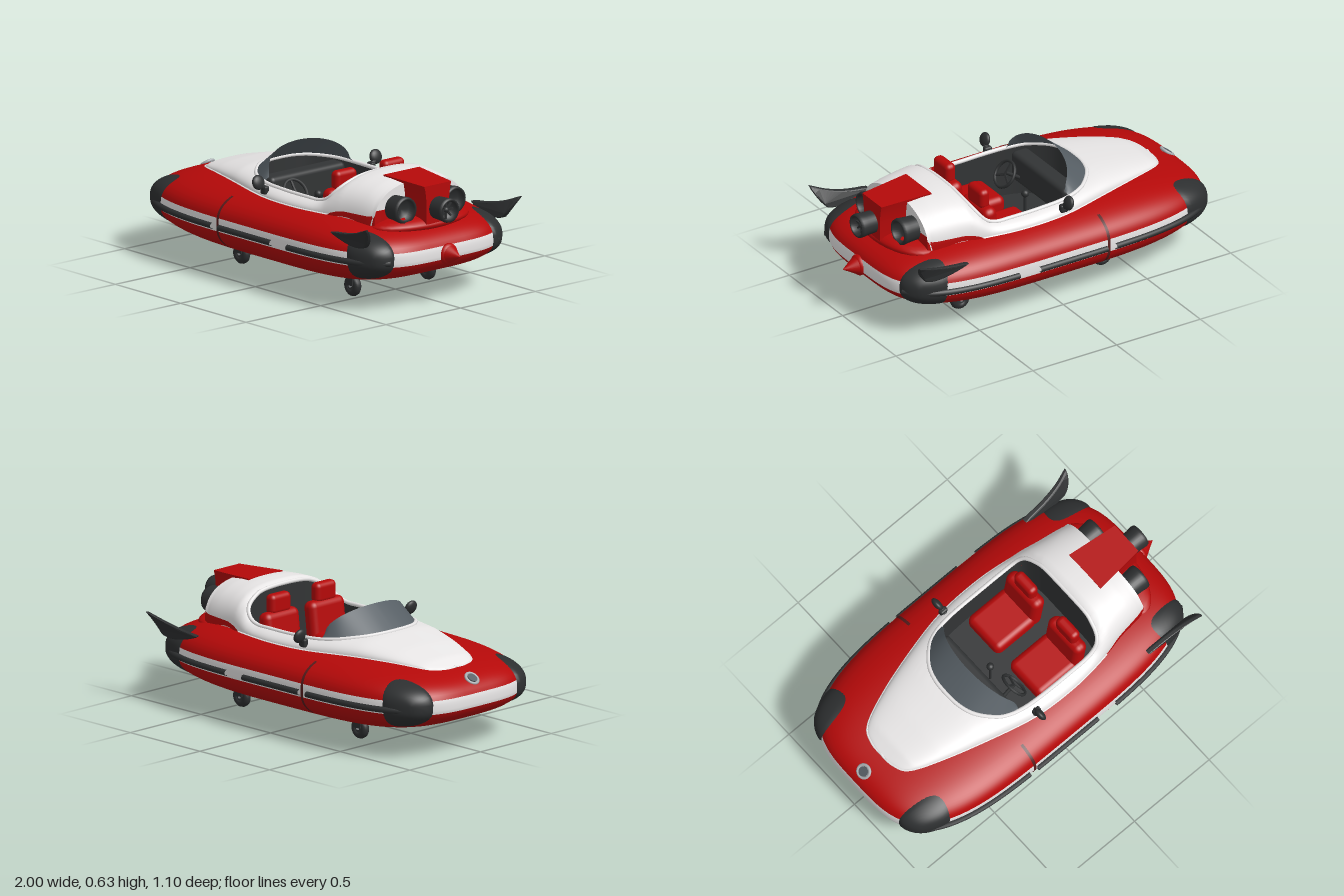
import * as THREE from 'three';
import { mergeVertices } from 'three/addons/utils/BufferGeometryUtils.js';
import { RoundedBoxGeometry } from 'three/addons/geometries/RoundedBoxGeometry.js';

const { PI, abs, sign, sin, cos, pow, max, min, sqrt } = Math;
const mat = (name, color) => new THREE.MeshStandardMaterial({ name, color, side: THREE.DoubleSide });
const V = (x, y, z) => new THREE.Vector3(x, y, z);
const range = (n, f) => Array.from({ length: n + 1 }, (_, i) => f(i / n));

// Smooth surface from a rule f(u, v) -> Vector3, u and v in 0..1
function grid(nu, nv, f) {
  const pos = [], idx = [];
  for (let j = 0; j <= nv; j++) for (let i = 0; i <= nu; i++) pos.push(...f(i / nu, j / nv).toArray());
  for (let j = 0; j < nv; j++) for (let i = 0; i < nu; i++) {
    const a = j * (nu + 1) + i, b = a + nu + 1;
    idx.push(a, a + 1, b, b, a + 1, b + 1);
  }
  let g = new THREE.BufferGeometry();
  g.setAttribute('position', new THREE.Float32BufferAttribute(pos, 3));
  g.setIndex(idx);
  g = mergeVertices(g, 1e-5);
  g.computeVertexNormals();
  return g;
}

// Linear look-up in a list of [x, value]
function look(table, x) {
  if (x <= table[0][0]) return table[0][1];
  for (let i = 1; i < table.length; i++) {
    const [x0, a] = table[i - 1], [x1, b] = table[i];
    if (x <= x1) return a + (b - a) * (x - x0) / (x1 - x0);
  }
  return table[table.length - 1][1];
}

// Hull: superellipse plan, rounder at the nose, with rounded sides; angle a = 0 is the nose (-x)
const CX = -0.045, HX = 0.955, HZ = 0.53, MID = 0.265;
const power = x => (x < CX ? 3.5 : 4);
const spow = (v, p) => sign(v) * pow(abs(v), p);
function hullPoint(a, phi, off = 0) {
  const p = phi > 0 ? 3 : 2.3, h = phi > 0 ? 0.185 : 0.195, k = 1 + off;
  const s = pow(max(cos(phi), 0), 2 / p) * k, e = 2 / (cos(a) > 0 ? 3.5 : 4);
  return V(CX - HX * s * spow(cos(a), e), MID + h * k * spow(sin(phi), 2 / p), HZ * s * spow(sin(a), e));
}
function hullTop(x, z) {
  const n = power(x), s = pow(pow(abs((x - CX) / HX), n) + pow(abs(z / HZ), n), 1 / n);
  return MID + 0.185 * pow(max(0, 1 - s * s * s), 1 / 3);
}
// Hull angle that gives a wanted x at scale s
const angleAt = (x, s = 1) => Math.acos(max(-1, min(1, spow((CX - x) / (HX * s), power(x) / 2))));

// Half outlines of the upper body and of the cockpit opening, as [x, z]
const OUTER = [[-0.82, 0], [-0.815, 0.08], [-0.77, 0.16], [-0.6, 0.235], [-0.35, 0.31], [-0.1, 0.365], [0.15, 0.375],
  [0.35, 0.355], [0.5, 0.325], [0.66, 0.3], [0.68, 0.27], [0.68, 0.12], [0.68, 0]];
const INNER = [[-0.385, 0], [-0.38, 0.08], [-0.355, 0.16], [-0.3, 0.23], [-0.23, 0.28], [-0.1, 0.31], [0.15, 0.315],
  [0.32, 0.31], [0.38, 0.28], [0.405, 0.2], [0.41, 0.15], [0.41, 0.08], [0.41, 0]];
const spline = pts => new THREE.SplineCurve(pts.map(p => new THREE.Vector2(...p)));
const outer = spline(OUTER), inner = spline(INNER);
const WIDTH = range(120, t => outer.getPoint(t * 0.75).toArray());
const HEIGHT = [[-0.82, 0.412], [-0.75, 0.447], [-0.6, 0.482], [-0.4, 0.514], [-0.25, 0.515], [-0.1, 0.5], [0.1, 0.49],
  [0.28, 0.495], [0.33, 0.52], [0.38, 0.585], [0.43, 0.625], [0.5, 0.628], [0.6, 0.622], [0.68, 0.61]];

// Upper body point: u in -1..1 round the loop, k = 0 outer edge to 1 cockpit edge
function bodyPoint(u, k) {
  const t = min(1, abs(u)), p = outer.getPoint(t).lerp(inner.getPoint(t), k);
  const w = max(0.01, look(WIDTH, p.x)), base = hullTop(p.x, p.y) - 0.004 * (1 - k);
  const prof = pow(max(0, 1 - pow(min(1, p.y / w), 2.5)), 0.4);
  return V(p.x, base + max(0, look(HEIGHT, p.x) - base) * prof, p.y * (sign(u) || 1));
}

export function createModel() {
  const car = new THREE.Group();
  const red = mat('red paint', 0xb50909), white = mat('white paint', 0xeeecec), dark = mat('dark rubber', 0x2d2f30);
  const lining = mat('cockpit lining', 0x323435), glass = mat('tinted glass', 0x565e64), silver = mat('silver', 0xa9adb1);
  const seam = mat('seam maroon', 0x561c1c);
  const add = (name, geo, m, x = 0, y = 0, z = 0, rx = 0, ry = 0, rz = 0, parent = car) => {
    const o = new THREE.Mesh(geo, m);
    o.name = name;
    o.position.set(x, y, z);
    o.rotation.set(rx, ry, rz);
    parent.add(o);
  };
  const tube = (name, pts, r, m, closed = false) =>
    add(name, new THREE.TubeGeometry(new THREE.CatmullRomCurve3(pts, closed), pts.length * 2, r, 8, closed), m);

  // Hull in bands, with the deck running in to the cockpit edge
  const band = (name, m, p0, p1, n) =>
    add(name, grid(128, n, (u, v) => hullPoint(PI * (2 * u - 1), p0 + (p1 - p0) * v)), m);
  const stripeTop = 0.125, rim = 0.773;
  band('lowerHull', red, -PI / 2, -0.09, 20);
  band('hullStripe', white, -0.09, stripeTop, 6);
  add('upperHull', grid(128, 24, (u, v) => {
    const a = PI * (2 * u - 1);
    if (v <= 0.5) return hullPoint(a, stripeTop + (rim - stripeTop) * v * 2);
    const p = hullPoint(a, rim), q = inner.getPoint(min(1, abs(a) / PI)), k = v * 2 - 1;
    const x = p.x + (q.x - p.x) * k, z = p.z + (q.y * (sign(a) || 1) - p.z) * k;
    return V(x, hullTop(x, z), z);
  }), red);

  // White upper body and its edge beads
  add('upperBody', grid(160, 24, (u, v) => bodyPoint(u * 2 - 1, v * v)), white);
  tube('cockpitRim', range(79, i => bodyPoint(i * 79 / 80 * 2 - 1, 1)), 0.011, white, true);
  tube('bonnetBead', range(80, i => bodyPoint((i * 2 - 1) * 0.6, 0)), 0.007, white);
  // Rear wall of the body, red below and white above
  const rearWall = (name, m, lo, hi) => add(name, grid(40, 2, (u, v) => {
    const p = bodyPoint(u < 0.5 ? 0.75 + u * 0.5 : -1 + (u - 0.5) * 0.5, 0);
    return V(p.x, min(p.y, lo) + (min(p.y, hi) - min(p.y, lo)) * v, p.z);
  }), m);
  rearWall('rearWallLower', red, 0.36, 0.49);
  rearWall('rearWallUpper', white, 0.49, 0.7);

  // Cockpit walls, floor and dashboard
  add('cockpitWall', grid(120, 2, (u, v) => {
    const p = bodyPoint(u * 2 - 1, 1);
    p.y += (0.2 - p.y) * v;
    return p;
  }), lining);
  const loop = [...range(40, t => inner.getPoint(t)), ...range(40, t => inner.getPoint(1 - t)).map(p => p.setY(-p.y))];
  add('cockpitFloor', new THREE.ShapeGeometry(new THREE.Shape(loop)), lining, 0, 0.21, 0, PI / 2);
  add('dashboard', new RoundedBoxGeometry(0.1, 0.16, 0.5, 3, 0.025), lining, -0.21, 0.41, 0);

  // Steering wheel, on the +z side
  const steer = new THREE.Group();
  steer.name = 'steeringWheel';
  steer.position.set(-0.075, 0.42, 0.165);
  steer.rotation.set(0, PI / 2, 0);
  const tilt = new THREE.Group();
  tilt.rotation.x = -0.6;
  steer.add(tilt);
  car.add(steer);
  add('wheelRim', new THREE.TorusGeometry(0.07, 0.008, 8, 32), dark, 0, 0, 0, 0, 0, 0, tilt);
  for (let i = 0; i < 3; i++)
    add('wheelSpoke', new THREE.BoxGeometry(0.01, 0.068, 0.008).translate(0, 0.034, 0), dark, 0, 0, 0, 0, 0, i * 2.094, tilt);
  add('steeringColumn', new THREE.CylinderGeometry(0.01, 0.01, 0.12, 10), dark, -0.13, 0.395, 0.165, 0, 0, -1);
  add('gearStick', new THREE.CylinderGeometry(0.007, 0.007, 0.16, 8), dark, -0.09, 0.29, 0);
  add('gearKnob', new THREE.SphereGeometry(0.02, 14, 10), dark, -0.09, 0.38, 0);

  // Windscreen
  add('windscreen', grid(40, 10, (u, v) => {
    const s = u * 2 - 1, q = 1 - s * s, b = bodyPoint(s * 0.385, 1);
    return b.lerp(V(-0.155 - 0.09 * q, b.y + 0.02 + 0.097 * sqrt(q), b.z * 0.9), v);
  }), glass);

  // Round corner bumpers that follow the hull
  const bumper = (a0, ra) => grid(40, 10, (u, v) => {
    const t = u * 2 * PI;
    return hullPoint(a0 + ra * v * cos(t), 0.06 + 0.62 * v * sin(t), 0.026 * sqrt(1 - v * v) - 0.004 + 0.01 * (1 - v));
  });

  for (const s of [1, -1]) {
    add('noseBumper', bumper(s * 0.64, 0.28), dark);
    add('tailBumper', bumper(s * (PI - 0.68), 0.29), dark);

    // Rub strips along the white stripe
    for (const [x0, x1] of [[-0.93, -0.29], [-0.24, 0.16], [0.28, 0.86]]) {
      const a0 = angleAt(x0), a1 = angleAt(x1);
      tube('rubStrip', range(16, t => hullPoint(s * (a0 + (a1 - a0) * t), 0, 0.008)), 0.016, dark);
    }
    // Panel seam
    add('panelSeam', grid(2, 30, (u, v) => {
      const phi = -0.6 + 1.36 * v, sc = pow(cos(phi), 2 / (phi > 0 ? 3 : 2.3));
      return hullPoint(s * angleAt(-0.262 + 0.016 * u, sc), phi, 0.004);
    }), seam);

    // Low red panel beside the rear hump
    add('rearSidePanel', grid(24, 5, (u, v) => {
      const p = bodyPoint(s * (0.6 + 0.16 * u), v * 0.02 * min(1, u * 3));
      return V(p.x, p.y + 0.003, p.z + s * 0.004);
    }), red);

    // Tail fins: curved blades leaning outward
    const f = new THREE.Shape();
    f.moveTo(0.56, 0.39);
    f.quadraticCurveTo(0.74, 0.4, 0.865, 0.463);
    f.quadraticCurveTo(0.84, 0.4, 0.8, 0.36);
    f.quadraticCurveTo(0.72, 0.33, 0.56, 0.39);
    const fin = new THREE.ExtrudeGeometry(f, { depth: 0.02, bevelEnabled: true, bevelSize: 0.006, bevelThickness: 0.008, bevelSegments: 2, curveSegments: 14 });
    const fp = fin.attributes.position;
    for (let i = 0; i < fp.count; i++) {
      const lean = max(0, fp.getY(i) - 0.35);
      fp.setZ(i, s * (fp.getZ(i) * (1 - lean * 4) + 0.452 + lean * 0.1 + 3.5 * lean * lean));
    }
    // The mirrored fin swaps two corners of each face to keep it outward
    if (s < 0) for (let i = 0; i < fp.count; i += 3) {
      const a = V().fromBufferAttribute(fp, i), b = V().fromBufferAttribute(fp, i + 1);
      fp.setXYZ(i, b.x, b.y, b.z);
      fp.setXYZ(i + 1, a.x, a.y, a.z);
    }
    fin.computeVertexNormals();
    add('tailFin', fin, dark);

    // Landing wheels
    for (const x of [-0.39, 0.46]) {
      add('wheelTyre', new THREE.TorusGeometry(0.033, 0.022, 12, 28), dark, x, 0.055, s * 0.25);
      add('wheelHub', new THREE.CylinderGeometry(0.022, 0.022, 0.034, 16), lining, x, 0.055, s * 0.25, PI / 2);
      add('wheelCap', new THREE.CylinderGeometry(0.009, 0.009, 0.04, 14), silver, x, 0.055, s * 0.25, PI / 2);
      add('wheelStrut', new THREE.BoxGeometry(0.05, 0.05, 0.056), dark, x, 0.085, s * 0.25);
    }

    // Door mirrors
    add('mirrorHead', new THREE.SphereGeometry(0.038, 20, 14).scale(0.5, 1, 1), dark, -0.1, 0.505, s * 0.393, 0, 0, 0.3);
    add('mirrorStem', new THREE.CylinderGeometry(0.011, 0.015, 0.07, 10), dark, -0.092, 0.475, s * 0.365, s * 0.8);
    add('mirrorFoot', new RoundedBoxGeometry(0.045, 0.045, 0.03, 2, 0.01), dark, -0.092, 0.462, s * 0.357);

    // Seats
    const z = s * 0.16;
    add('seatCushion', new RoundedBoxGeometry(0.27, 0.1, 0.24, 4, 0.035), red, 0.13, 0.32, z);
    add('seatBack', new RoundedBoxGeometry(0.08, 0.25, 0.24, 4, 0.035), red, 0.275, 0.4, z, 0, 0, -0.12);
    add('headrest', new RoundedBoxGeometry(0.06, 0.105, 0.14, 4, 0.025), red, 0.29, 0.56, z);
  }

  // Red tail housing, narrowing backward, waisted and flaring to the top
  const box = new THREE.BoxGeometry(0.28, 0.2, 0.2, 8, 8, 6), bp = box.attributes.position;
  for (let i = 0; i < bp.count; i++) {
    const k = 0.5 - bp.getX(i) / 0.28, h = bp.getY(i) / 0.2 + 0.5;
    bp.setZ(i, bp.getZ(i) * (0.74 + 0.3 * k + 0.16 * pow(h, 4)));
    if (h > 0.99) bp.setY(i, bp.getY(i) + 0.014 * k);
  }
  box.computeVertexNormals();
  add('tailHousing', box, red, 0.685, 0.512, 0);
  add('tailFairing', new THREE.SphereGeometry(0.1, 32, 16).scale(1.5, 0.5, 3.1), red, 0.68, 0.402, 0);

  // Three jet nozzles, the middle one with a fan behind its lip
  for (const [x, z, r] of [[0.76, 0.165, 0.066], [0.76, -0.165, 0.066], [0.905, 0, 0.06]]) {
    const jet = new THREE.Group();
    jet.name = 'jetNozzle';
    jet.position.set(x, 0.49, z);
    jet.rotation.z = -PI / 2;
    car.add(jet);
    const prof = [[0, -0.03], [r * 0.8, -0.03], [r * 0.82, 0.012], [r, 0.015], [r * 1.06, 0], [r, -0.03], [r * 0.9, -0.16]];
    add('nozzleShell', new THREE.LatheGeometry(prof.map(p => new THREE.Vector2(...p)), 32), dark, 0, 0, 0, 0, 0, 0, jet);
    if (z === 0) {
      for (let i = 0; i < 8; i++)
        add('fanBlade', new THREE.BoxGeometry(r * 0.78, 0.008, 0.009).translate(r * 0.4, 0, 0), dark, 0, -0.018, 0, 0, i * PI / 4, 0, jet);
      add('fanHub', new THREE.SphereGeometry(0.015, 14, 8), dark, 0, -0.018, 0, 0, 0, 0, jet);
    }
  }

  // Tail cone and round nose lamp
  add('tailCone', new THREE.SphereGeometry(0.055, 28, 14).scale(0.6, 1, 1), red, 0.905, MID, 0);
  add('tailConeTip', new THREE.ConeGeometry(0.053, 0.09, 28), red, 0.955, MID, 0, 0, 0, -PI / 2);
  add('nosePod', new THREE.CylinderGeometry(0.03, 0.034, 0.03, 24), silver, -0.93, 0.362, 0, 0, 0, 0.65);
  add('noseLamp', new THREE.CylinderGeometry(0.026, 0.026, 0.008, 24), glass, -0.941, 0.375, 0, 0, 0, 0.65);
  add('noseLampRing', new THREE.TorusGeometry(0.034, 0.008, 10, 28).rotateX(PI / 2), silver, -0.938, 0.372, 0, 0, 0, 0.65);
  return car;
}
